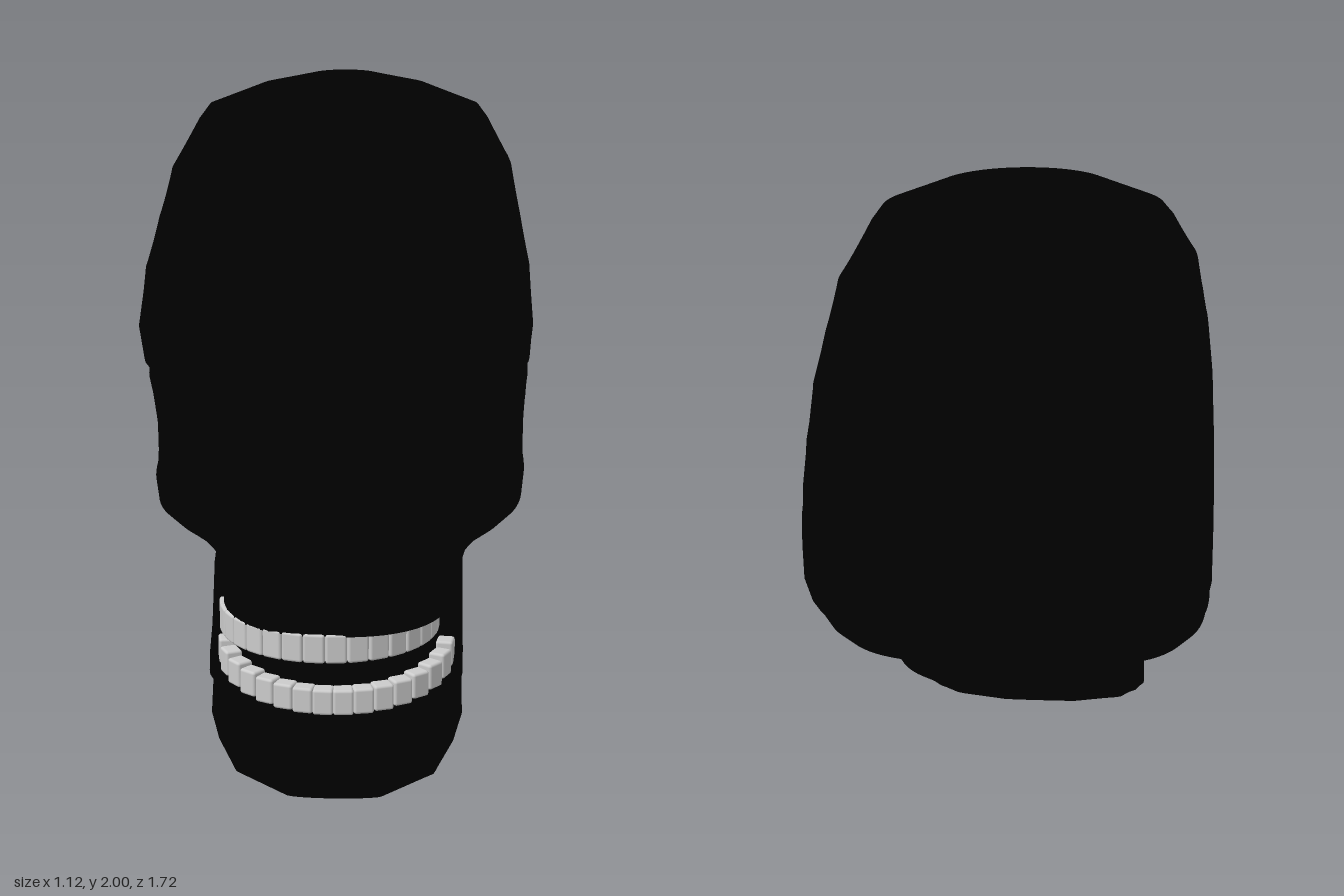
import * as THREE from 'three';
import { toCreasedNormals } from 'three/addons/utils/BufferGeometryUtils.js';
import { RoundedBoxGeometry } from 'three/addons/geometries/RoundedBoxGeometry.js';

const bone = new THREE.MeshStandardMaterial({ color: 0x000000 });
const enamel = new THREE.MeshStandardMaterial({ color: 0xcccccc });

// Closed loft through level superellipse sections, listed from bottom to top.
// Each section: [y, half width, back z, front z, back exponent, front exponent]
function loft(name, sections, centreZ, dent, sides) {
  const pos = [], index = [];
  for (const [y, w, zb, zf, nb, nf] of sections) {
    const zc = centreZ(zb, zf);
    for (let i = 0; i < sides; i++) {
      const a = (i / sides) * Math.PI * 2, c = Math.cos(a), s = Math.sin(a);
      const d = s >= 0 ? zf - zc : zc - zb, n = s >= 0 ? nf : nb;
      const r = Math.pow(Math.pow(Math.abs(c) / w, n) + Math.pow(Math.abs(s) / d, n), -1 / n);
      const p = new THREE.Vector3(r * c, y, zc + r * s);
      if (dent) dent(p);
      pos.push(p.x, p.y, p.z);
    }
  }
  const rows = sections.length;
  for (let j = 0; j < rows - 1; j++) {
    for (let i = 0; i < sides; i++) {
      const a = j * sides + i, b = j * sides + (i + 1) % sides;
      index.push(a, a + sides, b, b, a + sides, b + sides);
    }
  }
  // end caps
  for (const j of [0, rows - 1]) {
    const [y, , zb, zf] = sections[j], centre = pos.length / 3;
    pos.push(0, y, centreZ(zb, zf));
    for (let i = 0; i < sides; i++) {
      const a = j * sides + i, b = j * sides + (i + 1) % sides;
      if (j === 0) index.push(centre, a, b);
      else index.push(centre, b, a);
    }
  }
  const geo = new THREE.BufferGeometry();
  geo.setAttribute('position', new THREE.Float32BufferAttribute(pos, 3));
  geo.setIndex(index);
  const mesh = new THREE.Mesh(toCreasedNormals(geo, 0.7), bone);
  mesh.name = name;
  return mesh;
}

// Row of teeth spaced evenly along half an ellipse
function teeth(name, count, x0, halfWidth, depth, height, yAt) {
  const group = new THREE.Group();
  group.name = name;
  const arch = new THREE.EllipseCurve(x0, 0.5, halfWidth, depth, 0, Math.PI);
  const width = arch.getLength() / count;
  for (let i = 0; i < count; i++) {
    const u = (i + 0.5) / count, p = arch.getPointAt(u), t = arch.getTangentAt(u);
    const tooth = new THREE.Mesh(new RoundedBoxGeometry(width * 1.04, height, 0.05, 2, 0.008), enamel);
    tooth.position.set(p.x, yAt(p.y), p.y);
    tooth.rotation.y = Math.atan2(-t.y, t.x);
    tooth.name = 'tooth';
    group.add(tooth);
  }
  return group;
}

export function createModel() {
  const skull = new THREE.Group();
  skull.name = 'skull';

  // braincase with brow, temples and cheekbones
  const cranium = [
    [0.465, 0.2, -0.34, -0.12, 2, 2],
    [0.49, 0.3, -0.44, 0.05, 2.2, 3],
    [0.55, 0.38, -0.52, 0.45, 2.5, 4],
    [0.62, 0.40, -0.58, 0.55, 3, 3.5],
    [0.68, 0.46, -0.65, 0.62, 3.5, 3],
    [0.73, 0.52, -0.77, 0.66, 3.7, 3.2],
    [0.78, 0.555, -0.82, 0.69, 4, 3.6],
    [0.85, 0.56, -0.85, 0.73, 5.5, 3.6],
    [0.87, 0.555, -0.855, 0.64, 7, 4],
    [0.91, 0.555, -0.86, 0.59, 11, 4],
    [1.0, 0.555, -0.86, 0.575, 45, 4.2],
    [1.1, 0.555, -0.86, 0.575, 60, 5.5],
    [1.18, 0.555, -0.86, 0.635, 50, 6.5],
    [1.21, 0.555, -0.86, 0.73, 35, 4.8],
    [1.25, 0.555, -0.86, 0.755, 25, 6.5],
    [1.36, 0.555, -0.86, 0.748, 12, 10],
    [1.5, 0.55, -0.825, 0.71, 7.5, 6.5],
    [1.62, 0.53, -0.775, 0.655, 5.5, 4.3],
    [1.74, 0.51, -0.715, 0.575, 4, 3],
    [1.87, 0.44, -0.61, 0.43, 2.2, 2.3],
    [1.91, 0.41, -0.56, 0.345, 2, 2.1],
    [1.97, 0.25, -0.49, 0.2, 2, 2],
    [2.0, 0.1, -0.33, -0.02, 2, 2],
  ];
  // eye sockets sink into the front between cheek and brow
  const sockets = (p) => {
    if (p.z < 0.3 || p.y < 0.86 || p.y > 1.2) return;
    const k = 1 - ((Math.abs(p.x) - 0.24) / 0.18) ** 2 - ((p.y - 1.03) / 0.24) ** 2;
    p.z -= 0.35 * Math.max(0, k);
  };
  skull.add(loft('cranium', cranium, () => -0.15, sockets, 160));

  // nose bridge standing free in front of the sockets
  skull.add(loft('noseBridge', [
    [0.72, 0.18, 0.6, 0.76, 3, 3],
    [0.75, 0.17, 0.62, 0.765, 3, 3],
    [0.82, 0.13, 0.66, 0.80, 3, 3],
    [0.88, 0.10, 0.72, 0.83, 3, 3],
    [0.93, 0.08, 0.72, 0.86, 3, 6],
    [1.0, 0.075, 0.72, 0.79, 3, 3],
    [1.06, 0.075, 0.715, 0.78, 3, 3],
    [1.18, 0.1, 0.72, 0.78, 3, 3],
    [1.25, 0.16, 0.66, 0.77, 3, 3],
    [1.35, 0.2, 0.66, 0.755, 3, 3],
  ], (b, f) => (b + f) / 2, null, 32));

  // upper jaw bone with the ridge under the nose
  skull.add(loft('upperJaw', [
    [0.53, 0.33, 0.3, 0.82, 5, 2.4],
    [0.605, 0.33, 0.3, 0.82, 5, 2.4],
    [0.615, 0.33, 0.3, 0.835, 5, 2.3],
    [0.66, 0.33, 0.3, 0.835, 5, 2.3],
    [0.67, 0.33, 0.3, 0.76, 5, 2.6],
    [0.74, 0.35, 0.3, 0.755, 5, 2.6],
    [0.82, 0.36, 0.3, 0.73, 5, 2.6],
  ], () => 0.45, null, 64));

  // the mouth floor sinks between the side walls of the lower jaw
  const mouth = (p) => {
    if (p.z > 0.4 && p.y > 0.3 && p.y < 0.45 && Math.abs(p.x) < 0.345) p.z -= 0.12;
  };
  // lower jaw: chin, sloping underside and upright back branches
  skull.add(loft('lowerJaw', [
    [0.0, 0.14, 0.68, 0.71, 3, 2],
    [0.05, 0.29, 0.6, 0.712, 4, 1.9],
    [0.12, 0.345, 0.49, 0.712, 5, 2],
    [0.18, 0.37, 0.4, 0.715, 6, 2.2],
    [0.24, 0.37, 0.305, 0.76, 6, 2.3],
    [0.28, 0.37, 0.24, 0.755, 6, 2.7],
    [0.33, 0.37, 0.17, 0.66, 6, 9],
    [0.38, 0.37, 0.09, 0.59, 6, 16],
    [0.43, 0.37, 0.01, 0.52, 6, 16],
    [0.47, 0.37, -0.05, 0.51, 6, 14],
    [0.6, 0.37, -0.08, 0.51, 6, 8],
    [0.68, 0.36, -0.08, 0.5, 6, 7],
  ], (b, f) => b + 0.25 * (f - b), mouth, 160));

  skull.add(teeth('upperTeeth', 16, -0.02, 0.295, 0.3, 0.085, () => 0.495));
  skull.add(teeth('lowerTeeth', 16, 0, 0.32, 0.245, 0.075, (z) => 0.395 - 0.08 * (z - 0.5) / 0.245));
  return skull;
}
